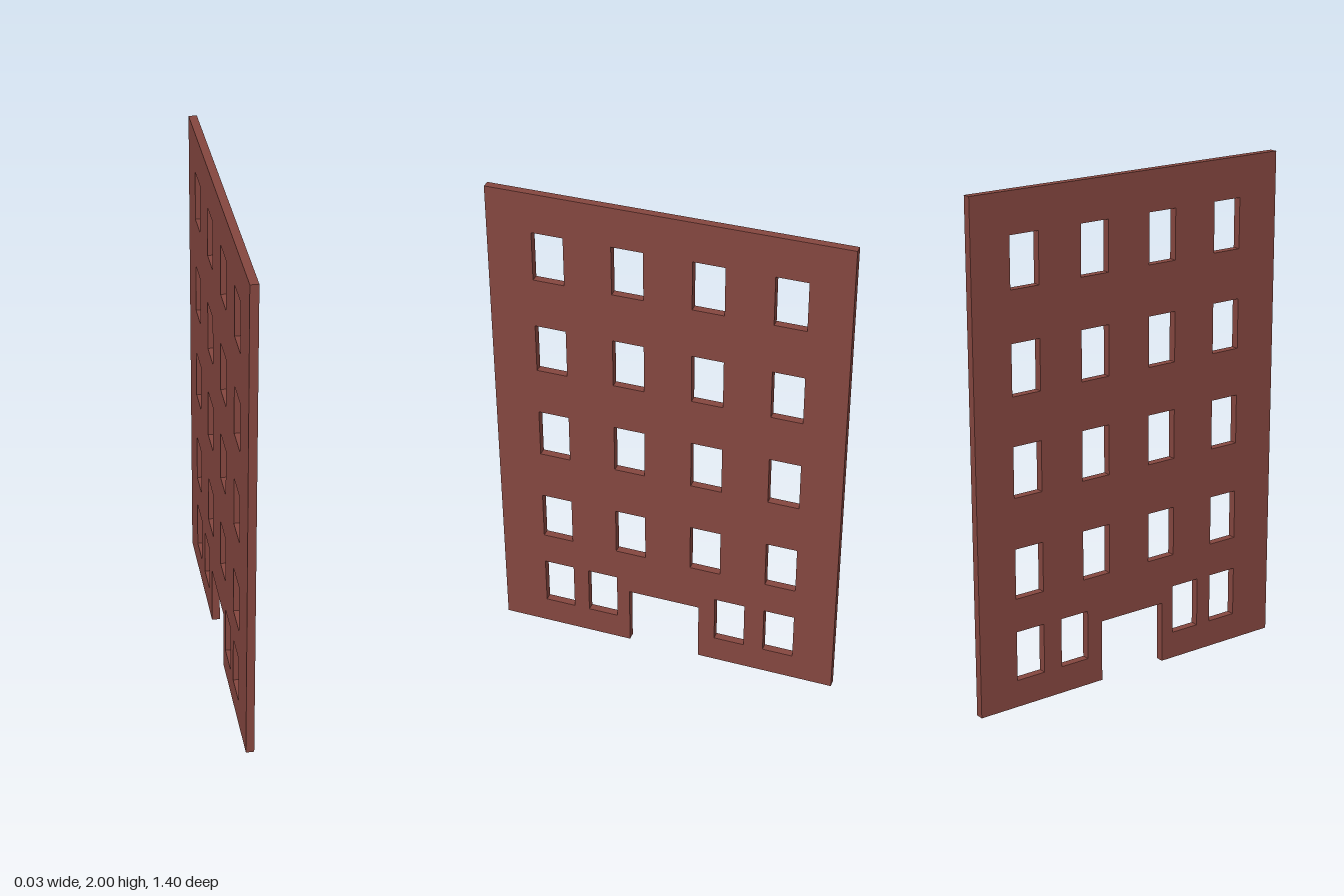
import * as THREE from 'three';

const THICKNESS = 0.032;
const WINDOW_W = 0.124;
const WINDOW_H = 0.2;

// Rectangular window opening, placed by its lower corner
function windowHole(z, y) {
  const w = WINDOW_W, h = WINDOW_H;
  return new THREE.Path([
    [z, y], [z, y + h], [z + w, y + h], [z + w, y],
  ].map(([a, b]) => new THREE.Vector2(a, b)));
}

export function createModel() {
  const group = new THREE.Group();
  group.name = 'facade';

  // Wall outline with the doorway cut up from the bottom edge
  const outline = [
    [-0.7, 0], [-0.138, 0], [-0.138, 0.25], [0.157, 0.25],
    [0.157, 0], [0.7, 0], [0.7, 2], [-0.7, 2],
  ];
  const shape = new THREE.Shape(outline.map(([z, y]) => new THREE.Vector2(z, y)));

  // Four upper storeys of evenly spaced windows
  for (const y of [0.445, 0.848, 1.24, 1.64]) {
    for (const z of [-0.535, -0.225, 0.087, 0.398]) shape.holes.push(windowHole(z, y));
  }
  // Ground floor windows, paired on each side of the doorway
  for (const z of [-0.535, -0.33, 0.21, 0.398]) shape.holes.push(windowHole(z, 0.11));

  // Extrude, then turn the wall so that it runs along z
  const geometry = new THREE.ExtrudeGeometry(shape, { depth: THICKNESS, bevelEnabled: false });
  geometry.translate(0, 0, -THICKNESS / 2);
  geometry.rotateY(-Math.PI / 2);

  const wall = new THREE.Mesh(geometry, new THREE.MeshStandardMaterial({ color: 0x84463f }));
  wall.name = 'brickWall';
  group.add(wall);
  return group;
}
